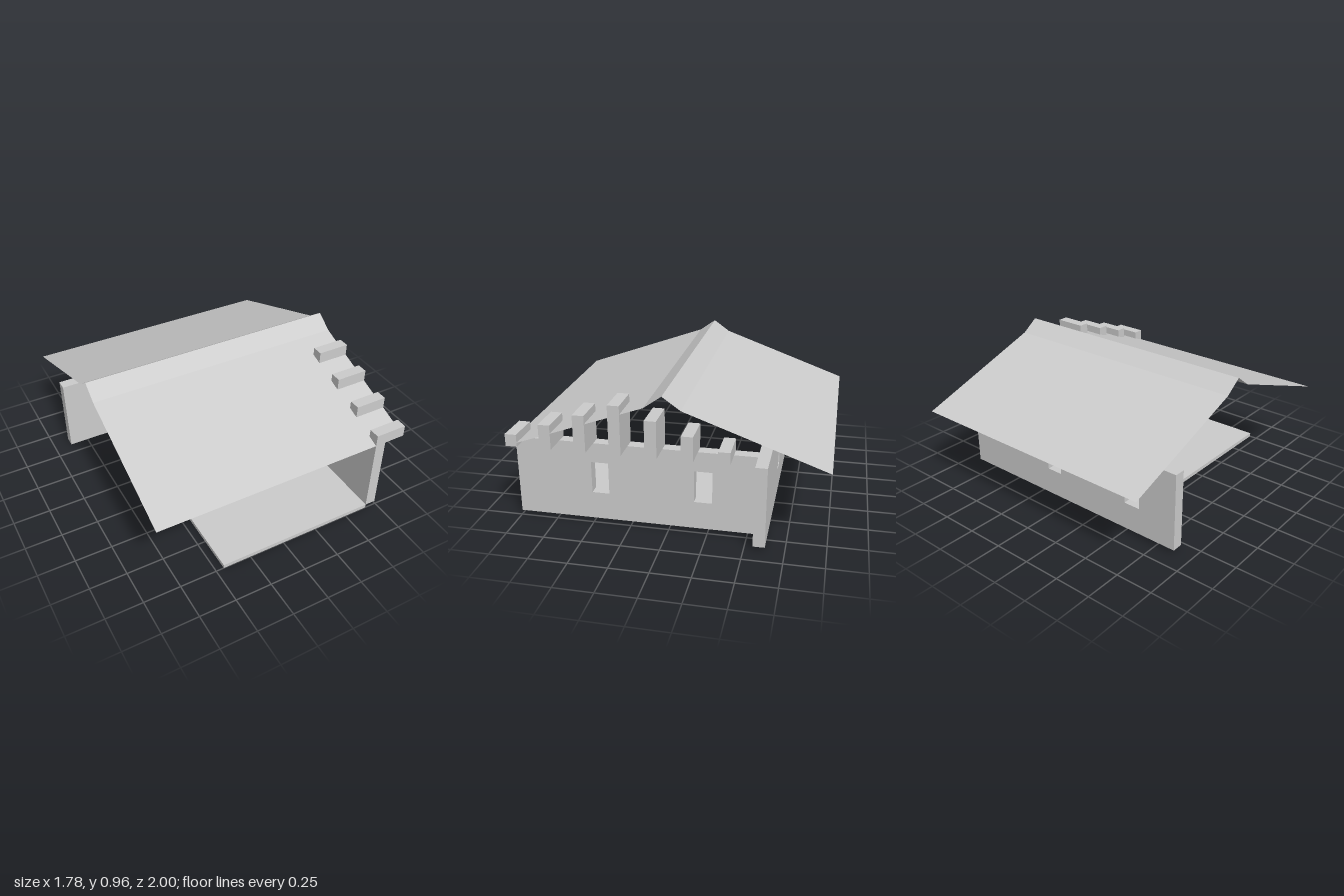
import * as THREE from 'three';

const plaster = new THREE.MeshStandardMaterial({ color: 0xcccccc, side: THREE.DoubleSide });
plaster.name = 'light grey';

const BASE = 0.027, EAVE = 0.557;      // wall bottom and wall top
const SILL = 0.212, LINTEL = 0.425;    // window bottom and top
const HALF = 0.888;                    // half the roof and back wall length

function rect(Type, u0, u1, v0, v1) {
  const r = new Type();
  r.moveTo(u0, v0).lineTo(u1, v0).lineTo(u1, v1).lineTo(u0, v1).closePath();
  return r;
}

// Wall lying in the xy plane, with window openings, extruded along +z
function wallGeometry(u0, u1, windows, depth) {
  const shape = rect(THREE.Shape, u0, u1, BASE, EAVE);
  for (const [a, b] of windows) shape.holes.push(rect(THREE.Path, a, b, SILL, LINTEL));
  return new THREE.ExtrudeGeometry(shape, { depth, bevelEnabled: false });
}

function box(name, x0, x1, y0, y1, z0, z1) {
  const mesh = new THREE.Mesh(new THREE.BoxGeometry(x1 - x0, y1 - y0, z1 - z0), plaster);
  mesh.position.set((x0 + x1) / 2, (y0 + y1) / 2, (z0 + z1) / 2);
  mesh.name = name;
  return mesh;
}

// Flat sheet between two horizontal lines running along x, facing up
function sheet(name, [zLow, yLow], [zHigh, yHigh]) {
  const run = zLow - zHigh, rise = yHigh - yLow;
  const geo = new THREE.PlaneGeometry(2 * HALF, Math.hypot(run, rise));
  const mesh = new THREE.Mesh(geo, plaster);
  mesh.rotation.x = -Math.atan2(run, rise);
  mesh.position.set(0, (yLow + yHigh) / 2, (zLow + zHigh) / 2);
  mesh.name = name;
  return mesh;
}

export function createModel() {
  const house = new THREE.Group();
  house.name = 'house';

  // Floor slab
  house.add(box('floor', -0.446, 0.667, 0, BASE, -0.555, 1));

  // Long back wall
  const back = new THREE.Mesh(
    wallGeometry(-HALF, HALF, [[-0.615, -0.5], [0.05, 0.165]], 0.075), plaster);
  back.position.z = -0.63;
  back.name = 'backWall';
  house.add(back);

  // Side wall: drawn with u = -z, then turned so it runs along z
  const side = new THREE.Mesh(
    wallGeometry(-1, 0.555, [[-0.503, -0.39], [0.162, 0.278]], 0.074), plaster);
  side.rotation.y = Math.PI / 2;
  side.position.x = 0.667;
  side.name = 'sideWall';
  house.add(side);

  // Stepped blocks on the side wall, rising to the fourth and falling again
  const blocks = new THREE.Group();
  blocks.name = 'gableBlocks';
  for (let i = 0; i < 7; i++) {
    const z = 1 - i * 0.2225;
    const top = EAVE + 0.08 * (4 - Math.abs(i - 3));
    blocks.add(box('gableBlock', 0.667, HALF, EAVE, top, z - 0.074, z));
  }
  house.add(blocks);

  // Thin roof: a slope and a steeper ridge strip on each side
  const eave = [1, EAVE], kink = [0.113, 0.876], ridge = [0, 0.957];
  for (const [label, s] of [['front', 1], ['back', -1]]) {
    const half = new THREE.Group();
    half.name = label + 'Roof';
    half.add(sheet('roofSlope', eave, kink), sheet('ridgeStrip', kink, ridge));
    if (s < 0) half.rotation.y = Math.PI;
    house.add(half);
  }
  return house;
}
